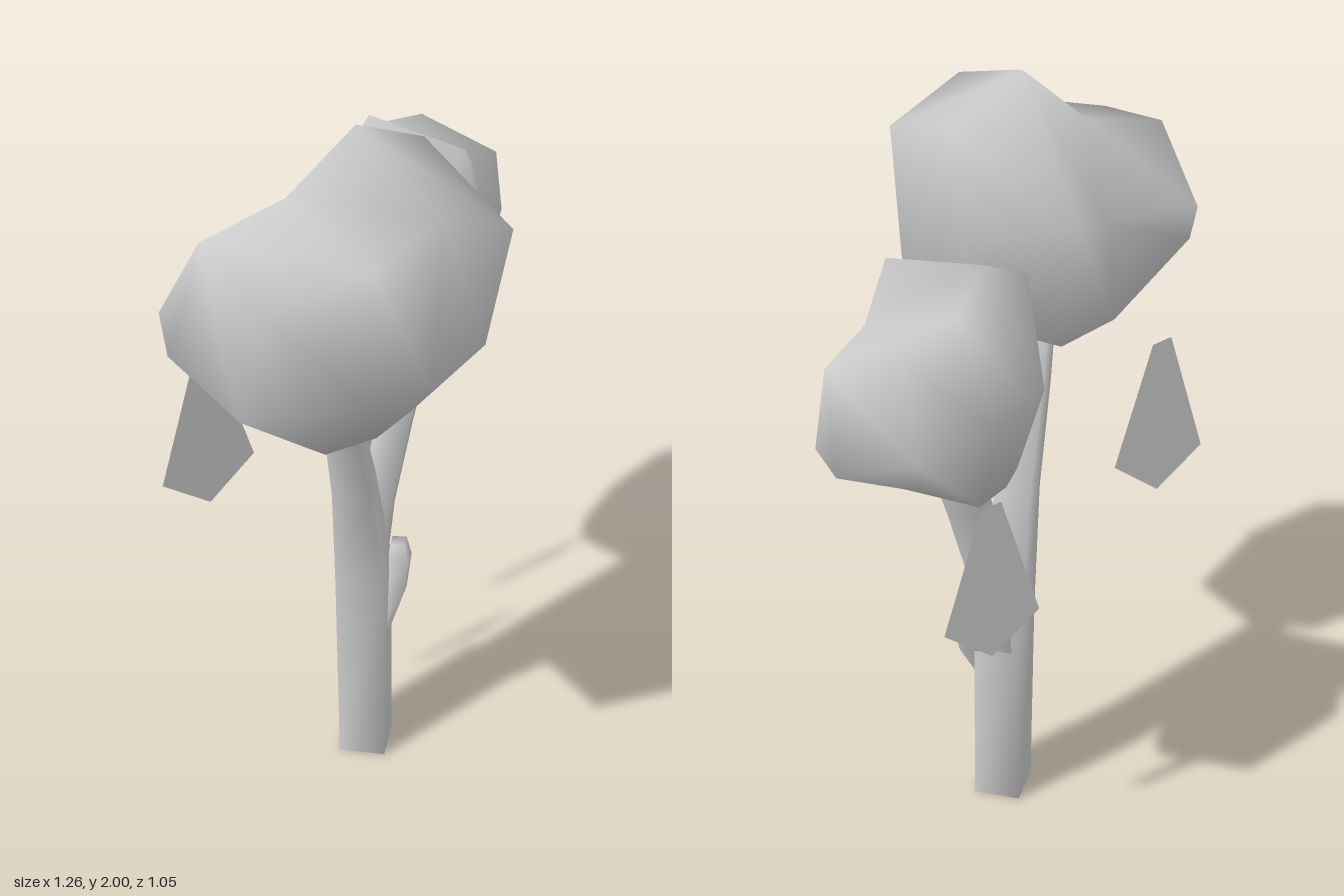
import * as THREE from 'three';

// Smooth skin over a list of rings (even-length lists of Vector3), closed at the chosen ends
function loft(rings, capStart) {
  const n = rings[0].length;
  const index = [];
  for (let r = 0; r < rings.length - 1; r++) {
    for (let i = 0; i < n; i++) {
      const j = (i + 1) % n;
      const a = r * n + i, b = r * n + j, c = b + n, d = a + n;
      index.push(a, b, c, a, c, d);
    }
  }
  const cap = (o, flip) => {
    const tri = (a, b, c) => index.push(o + a, o + (flip ? c : b), o + (flip ? b : c));
    for (let i = 0; i < n; i += 2) tri(i, i + 1, (i + 2) % n);
    for (let i = 2; i < n - 2; i += 2) tri(0, i, i + 2);
  };
  if (capStart) cap(0, true);
  cap((rings.length - 1) * n, false);
  const geometry = new THREE.BufferGeometry().setFromPoints(rings.flat());
  geometry.setIndex(index);
  geometry.computeVertexNormals();
  return geometry;
}

// Four-sided tapering limb through [x, y, z, radius] stations, open at the foot
function limb(stations) {
  const pts = stations.map(([x, y, z]) => new THREE.Vector3(x, y, z));
  const rings = stations.map((s, k) => {
    const t = pts[Math.min(k + 1, pts.length - 1)].clone().sub(pts[Math.max(k - 1, 0)]).normalize();
    if (k === 0) t.set(0, 1, 0);
    const u = new THREE.Vector3(1, 0, 0).addScaledVector(t, -t.x).normalize();
    const w = t.clone().cross(u);
    return [[1, 0], [0, 1], [-1, 0], [0, -1]].map(([a, b]) =>
      pts[k].clone().addScaledVector(u, a * s[3]).addScaledVector(w, b * s[3]));
  });
  return loft(rings, false);
}

// Leafy crown: four sections from the low end to the tall end, about its centre
function crownGeometry() {
  const sections = [
    [[-0.58, 1.81, 0.17], [-0.59, 1.76, 0.46], [-0.63, 1.48, 0.40], [-0.50, 1.37, 0.25], [-0.63, 1.50, 0.09], [-0.63, 1.60, 0.06]],
    [[-0.35, 1.855, 0.17], [-0.35, 1.81, 0.505], [-0.34, 1.45, 0.48], [-0.34, 1.235, 0.30], [-0.35, 1.36, 0.01], [-0.30, 1.65, -0.015]],
    [[-0.18, 2.0, 0.20], [-0.18, 1.90, 0.53], [-0.20, 1.48, 0.53], [-0.20, 1.235, 0.31], [-0.18, 1.33, -0.01], [-0.22, 1.65, -0.03]],
    [[0.04, 1.90, 0.16], [0.04, 1.80, 0.50], [0.075, 1.43, 0.37], [-0.08, 1.25, 0.28], [0.07, 1.43, 0.09], [0.07, 1.65, 0.05]],
  ];
  const rings = sections.map((ring) => ring.map(([x, y, z]) => new THREE.Vector3(x + 0.28, y - 1.62, z - 0.25)));
  return loft(rings, true);
}

export function createModel() {
  const model = new THREE.Group();
  const grey = new THREE.MeshStandardMaterial({ color: 0xcccccc, side: THREE.DoubleSide });
  grey.name = 'plainGrey';

  const add = (name, geometry) => {
    const mesh = new THREE.Mesh(geometry, grey);
    mesh.name = name;
    model.add(mesh);
    return mesh;
  };

  // Trunk running into the taller branch, the second branch, and a short stub
  add('trunk', limb([
    [-0.02, 0, 0.005, 0.09], [-0.012, 0.58, -0.015, 0.093], [-0.085, 0.92, 0.045, 0.068],
    [-0.16, 1.2, 0.095, 0.053], [-0.2, 1.38, 0.13, 0.047],
  ]));
  add('secondBranch', limb([
    [0.01, 0.5, -0.03, 0.06], [0.05, 0.75, -0.045, 0.062], [0.12, 0.98, -0.06, 0.062], [0.21, 1.22, -0.08, 0.06],
  ]));
  add('branchStub', limb([
    [0.02, 0.38, 0.02, 0.03], [0.07, 0.5, 0.015, 0.042], [0.09, 0.59, 0.01, 0.04], [0.085, 0.645, 0.01, 0.028],
  ]));

  // Two crowns of the same shape, the second smaller, turned and tilted
  const crown = crownGeometry();
  add('largeCrown', crown).position.set(-0.28, 1.62, 0.25);
  const small = add('smallCrown', crown);
  small.position.set(0.325, 1.45, -0.25);
  small.rotation.set(-0.45, -2.63, 0, 'YXZ');
  small.scale.setScalar(0.79);

  // Hanging flat leaves
  const kite = new THREE.Shape([[0, 0], [0.135, 0.1], [0.03, 0.43], [-0.025, 0.44], [-0.135, 0.1]]
    .map(([x, y]) => new THREE.Vector2(x, y)));
  const leaf = new THREE.ShapeGeometry(kite);
  add('leftLeaf', leaf).position.set(-0.42, 0.9, -0.115);
  add('rightLeaf', leaf).position.set(0.19, 0.682, -0.312);

  return model;
}
